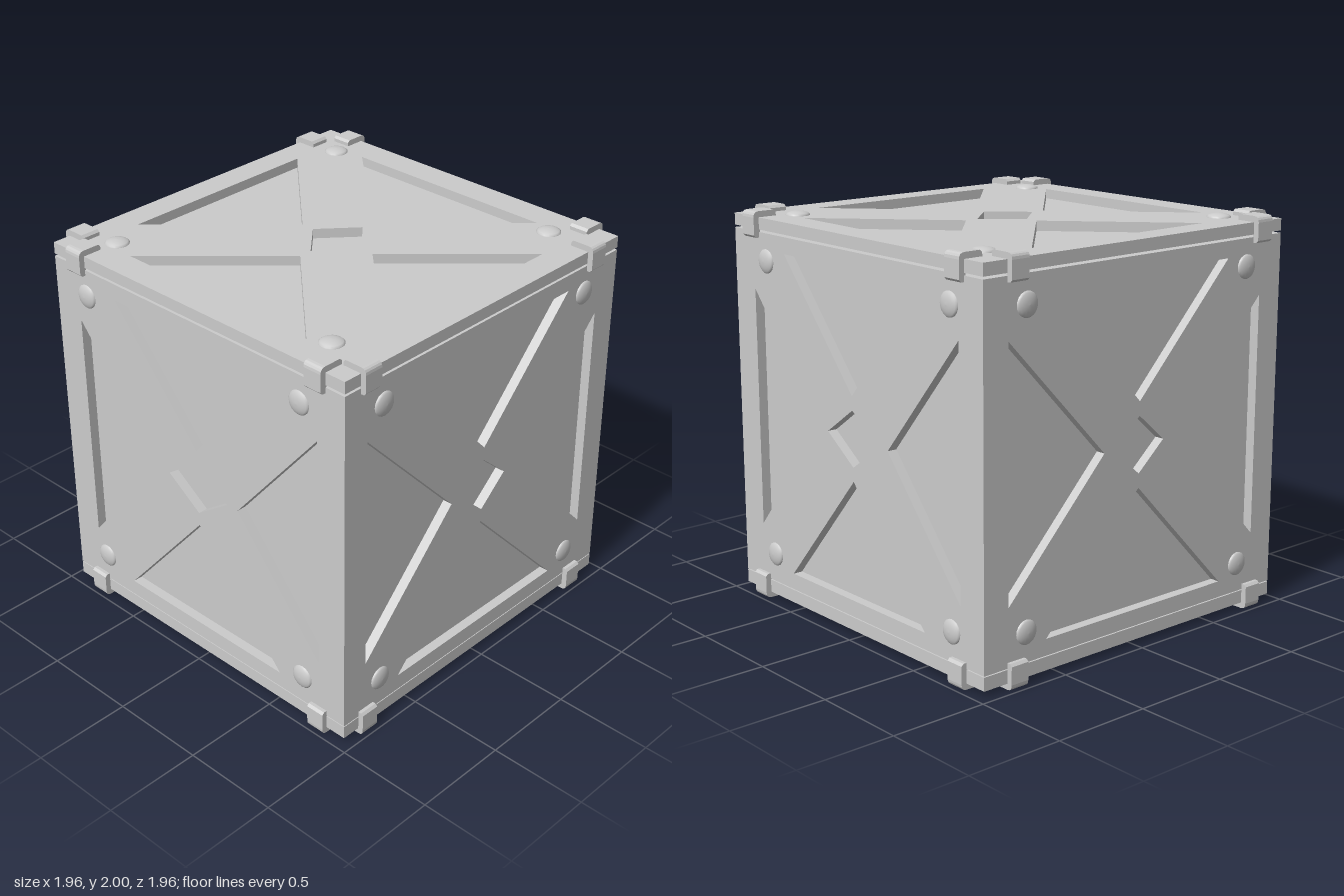
import * as THREE from 'three';

const grey = new THREE.MeshStandardMaterial({ color: 0xcccccc });
const HALF = 0.953; // half width of the crate
const DEPTH = 0.05; // depth of the recesses

function add(parent, geometry, name) {
  const mesh = new THREE.Mesh(geometry, grey);
  mesh.name = name;
  parent.add(mesh);
  return mesh;
}

const toPath = (points, Type) => new Type(points.map(([x, y]) => new THREE.Vector2(x, y)));

// Slab with an X brace: four triangular openings and an optional diamond
function bracedPanel({ w, h, t, topX, topY, topTip, sideX, sideY, sideTip, diamond }) {
  const shape = toPath([[-w, -h], [w, -h], [w, h], [-w, h]], THREE.Shape);
  for (const s of [-1, 1]) {
    shape.holes.push(toPath([[-topX, s * topY], [topX, s * topY], [0, s * topTip]], THREE.Path));
    shape.holes.push(toPath([[s * sideX, -sideY], [s * sideX, sideY], [s * sideTip, 0]], THREE.Path));
  }
  if (diamond) {
    const [a, b] = diamond;
    shape.holes.push(toPath([[-a, 0], [0, -b], [a, 0], [0, b]], THREE.Path));
  }
  return new THREE.ExtrudeGeometry(shape, { depth: t, bevelEnabled: false });
}

// Low dome, axis along +y
function rivetGeometry() {
  const profile = [[0.06, -0.005], [0.06, 0.004], [0.052, 0.011], [0.035, 0.017], [0.018, 0.02], [0, 0.021]];
  return new THREE.LatheGeometry(profile.map(([x, y]) => new THREE.Vector2(x, y)), 20);
}

// L-shaped bracket hugging an edge; the outer corner is at (0, 0)
function clipGeometry(width) {
  const arm = 0.13, t = 0.035, r = 0.03, c = 0.012;
  const shape = new THREE.Shape();
  shape.moveTo(-arm, -t);
  shape.lineTo(-arm, -c);
  shape.lineTo(-arm + c, 0);
  shape.lineTo(-r, 0);
  shape.quadraticCurveTo(0, 0, 0, -r);
  shape.lineTo(0, -arm + c);
  shape.lineTo(-c, -arm);
  shape.lineTo(-t, -arm);
  shape.lineTo(-t, -t);
  const g = new THREE.ExtrudeGeometry(shape, { depth: width, bevelEnabled: false, curveSegments: 4 });
  return g.translate(0, 0, -width / 2);
}

export function createModel() {
  const model = new THREE.Group();
  model.name = 'crate';

  // Inner box forms the floors of all recesses
  const inner = HALF - DEPTH;
  add(model, new THREE.BoxGeometry(inner * 2, 1.84, inner * 2), 'innerBox').position.y = 1;

  // Front and back panels
  const frontGeo = bracedPanel({
    w: HALF, h: 0.898, t: DEPTH, topX: 0.53, topY: 0.815, topTip: 0.21,
    sideX: 0.79, sideY: 0.61, sideTip: 0.27, diamond: [0.2, 0.14],
  });
  // Side panels fit between them
  const sideGeo = bracedPanel({
    w: inner, h: 0.898, t: DEPTH, topX: 0.58, topY: 0.815, topTip: 0.21,
    sideX: 0.81, sideY: 0.61, sideTip: 0.225, diamond: [0.16, 0.14],
  });
  ['front', 'right', 'back', 'left'].forEach((side, i) => {
    const pivot = new THREE.Group();
    pivot.name = side + 'Side';
    pivot.rotation.y = -i * Math.PI / 2;
    pivot.position.y = 1;
    add(pivot, i % 2 ? sideGeo : frontGeo, side + 'Panel').position.z = inner;
    model.add(pivot);
  });

  // Lid and base slabs
  const slab = {
    w: HALF, h: HALF, topX: 0.58, topY: 0.8, topTip: 0.25,
    sideX: 0.81, sideY: 0.55, sideTip: 0.23,
  };
  const lid = add(model, bracedPanel({ ...slab, t: 0.06, diamond: [0.16, 0.18] }), 'lid');
  lid.rotation.x = -Math.PI / 2;
  lid.position.y = 1.91;
  const base = add(model, bracedPanel({ ...slab, t: 0.067 }), 'base');
  base.rotation.x = Math.PI / 2;
  base.position.y = 0.097;

  // Rivets on the four sides and the lid
  const rivet = rivetGeometry();
  for (const x of [-0.728, 0.683]) {
    for (const y of [0.25, 1.76]) {
      for (const s of [-1, 1]) {
        const r = add(model, rivet, 'rivet');
        r.position.set(x, y, s * HALF);
        r.rotation.x = s * Math.PI / 2;
      }
    }
    for (const z of [-0.76, 0.75]) add(model, rivet, 'lidRivet').position.set(x, 1.97, z);
  }
  for (const z of [-0.703, 0.708]) {
    for (const y of [0.25, 1.76]) {
      for (const s of [-1, 1]) {
        const r = add(model, rivet, 'sideRivet');
        r.position.set(s * HALF, y, z);
        r.rotation.z = -s * Math.PI / 2;
      }
    }
  }

  // Clips over the top and bottom edges, two per edge
  const clip = clipGeometry(0.1);
  for (const top of [true, false]) {
    const addClip = (x, z, turn) => {
      const holder = new THREE.Group();
      holder.name = top ? 'topClip' : 'bottomClip';
      holder.position.set(x, top ? 2 : 0, z);
      holder.rotation.y = turn;
      const mesh = add(holder, clip, 'clip');
      mesh.rotation.z = top ? 0 : -Math.PI / 2;
      model.add(holder);
    };
    for (const z of [-0.765, 0.805]) {
      addClip(0.982, z, 0);
      addClip(-0.982, z, Math.PI);
    }
    for (const x of [-0.78, 0.79]) {
      addClip(x, 0.982, -Math.PI / 2);
      addClip(x, -0.982, Math.PI / 2);
    }
  }
  return model;
}
